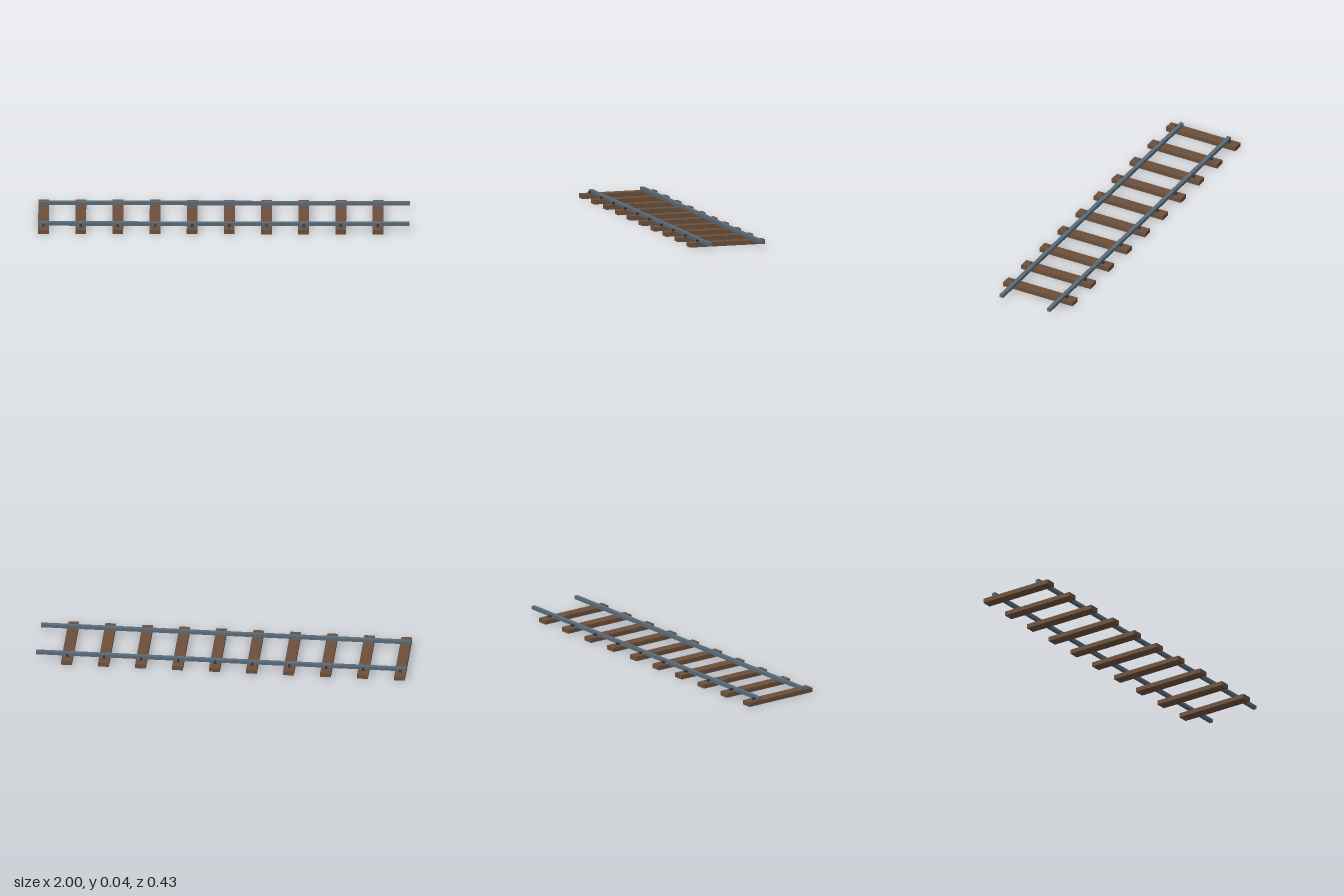
import * as THREE from 'three';

export function createModel() {
  const wood = new THREE.MeshStandardMaterial({ name: 'wood brown', color: 0x6b4f3a });
  const steel = new THREE.MeshStandardMaterial({ name: 'steel blue grey', color: 0x5a6a78 });
  const iron = new THREE.MeshStandardMaterial({ name: 'dark iron', color: 0x2f3640 });

  const track = new THREE.Group();
  track.name = 'railwayTrack';

  const sleeperHeight = 0.024, sleeperWidth = 0.058, spacing = 0.2;
  const sleeperGeometry = new THREE.BoxGeometry(sleeperWidth, sleeperHeight, 0.427);
  const railGeometry = new THREE.BoxGeometry(2, 0.018, 0.021);
  const spikeGeometry = new THREE.BoxGeometry(0.013, 0.013, 0.013);

  const add = (name, geometry, material, x, y, z) => {
    const mesh = new THREE.Mesh(geometry, material);
    mesh.name = name;
    mesh.position.set(x, y, z);
    track.add(mesh);
  };

  // Two rails lying on the sleepers
  for (const side of [-1, 1]) {
    add(side > 0 ? 'frontRail' : 'backRail', railGeometry, steel, 0, sleeperHeight + 0.0095, side * 0.1455);
  }

  // Ten sleepers from the -x end, each with a spike outside either rail
  for (let i = 0; i < 10; i++) {
    const x = -1 + sleeperWidth / 2 + i * spacing;
    add('sleeper', sleeperGeometry, wood, x, sleeperHeight / 2, 0);
    for (const side of [-1, 1]) {
      add('spike', spikeGeometry, iron, x, sleeperHeight + 0.0055, side * 0.1625);
    }
  }
  return track;
}
